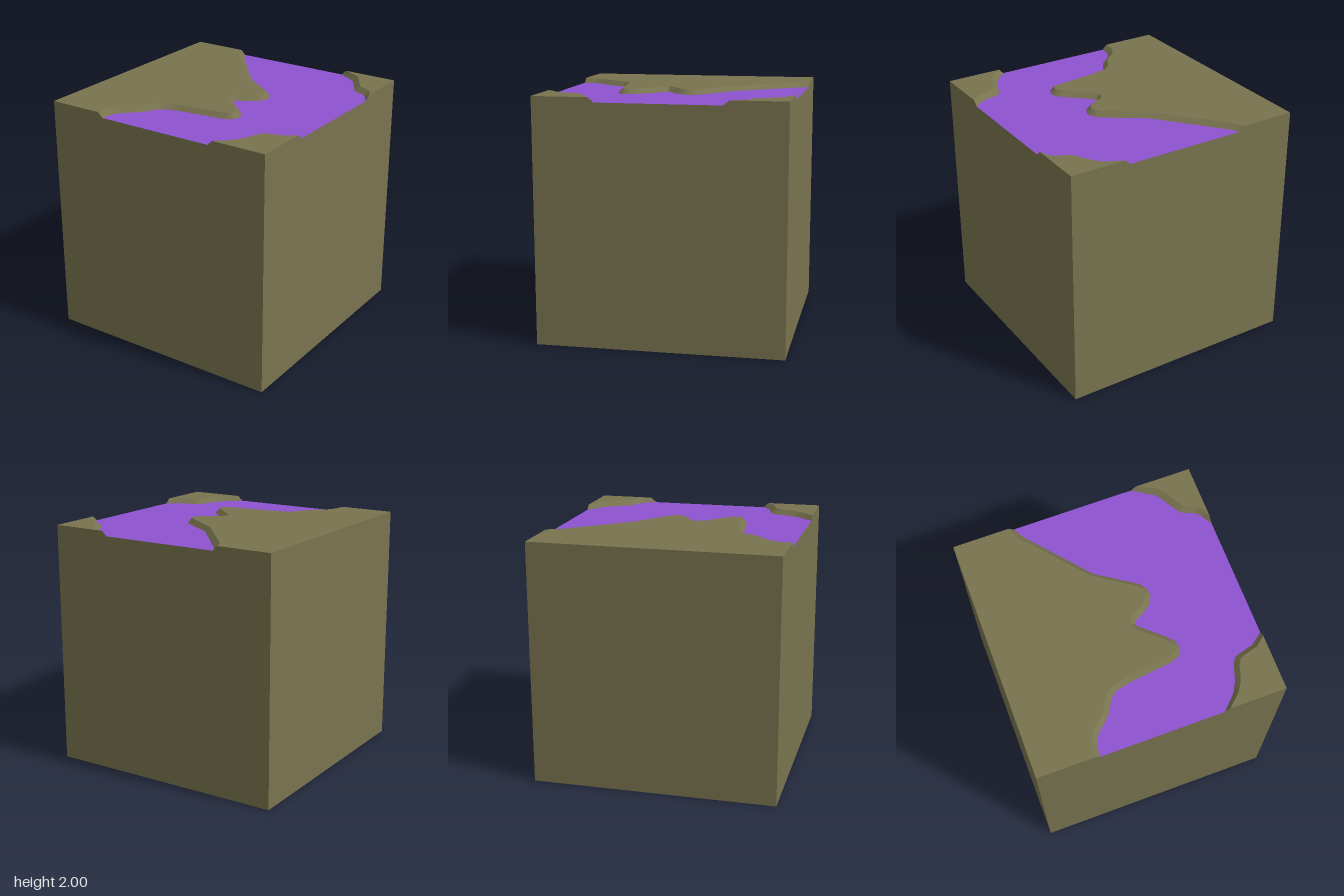
import * as THREE from 'three';
import { toCreasedNormals } from 'three/addons/utils/BufferGeometryUtils.js';

const TOP = 2, BED = 1.96;

// Bank lines as [x, z] pairs: foot on the river bed, rim on the plateau.
const westFoot = [[-0.5, -1], [-0.45, -0.91], [-0.04, -0.415], [0.265, -0.21], [0.31, -0.15], [0.32, -0.09],
  [0.285, -0.02], [0.22, 0.03], [0.14, 0.07], [0.115, 0.1], [0.14, 0.13], [0.3, 0.275], [0.36, 0.34],
  [0.37, 0.4], [0.345, 0.46], [0.27, 0.49], [-0.08, 0.53], [-0.21, 0.56], [-0.26, 0.6], [-0.33, 0.72],
  [-0.45, 0.83], [-0.49, 0.9], [-0.5, 1]];
const westRim = [[-0.54, -1], [-0.49, -0.89], [-0.07, -0.395], [0.24, -0.18], [0.275, -0.135], [0.28, -0.09],
  [0.26, -0.05], [0.2, -0.005], [0.11, 0.04], [0.08, 0.105], [0.11, 0.16], [0.275, 0.305], [0.325, 0.36],
  [0.335, 0.41], [0.32, 0.44], [0.26, 0.455], [-0.09, 0.495], [-0.23, 0.525], [-0.295, 0.575], [-0.365, 0.7],
  [-0.48, 0.8], [-0.53, 0.89], [-0.54, 1]];
const backFoot = [[0.5, -1], [0.67, -0.89], [0.71, -0.83], [0.785, -0.7], [0.82, -0.665], [0.9, -0.635],
  [0.94, -0.6], [1, -0.5]];
const backRim = [[0.54, -1], [0.69, -0.925], [0.74, -0.865], [0.82, -0.725], [0.85, -0.7], [0.92, -0.67],
  [0.97, -0.63], [1, -0.55]];
const frontFoot = [[0.5, 1], [0.62, 0.88], [0.665, 0.8], [0.71, 0.665], [0.74, 0.62], [0.78, 0.605],
  [0.9, 0.575], [1, 0.5]];
const frontRim = [[0.54, 1], [0.65, 0.9], [0.7, 0.82], [0.74, 0.7], [0.77, 0.655], [0.81, 0.64],
  [0.92, 0.61], [1, 0.545]];

// Plan points use (x, -z), so counter-clockwise loops face up.
const plan = (pts) => pts.map(([x, z]) => new THREE.Vector2(x, -z));

// Raised ground: sloped sides from the foot loop to the rim loop, with a flat top.
function plateauGeometry(foot, rim, corners) {
  const low = plan([...foot, ...corners]);
  const high = plan([...rim, ...corners]);
  if (THREE.ShapeUtils.isClockWise(high)) { low.reverse(); high.reverse(); }
  const n = low.length;
  const pos = [], index = [];
  low.forEach((p) => pos.push(p.x, BED, -p.y));
  high.forEach((p) => pos.push(p.x, TOP, -p.y));
  for (let i = 0; i < n; i++) {
    const j = (i + 1) % n;
    index.push(i, j, n + j, i, n + j, n + i);
  }
  THREE.ShapeUtils.triangulateShape(high, []).forEach((f) => index.push(...f.map((k) => n + k)));
  const geo = new THREE.BufferGeometry();
  geo.setAttribute('position', new THREE.Float32BufferAttribute(pos, 3));
  geo.setIndex(index);
  return toCreasedNormals(geo, 0.6);
}

export function createModel() {
  const group = new THREE.Group();
  const earth = new THREE.MeshStandardMaterial({ color: 0x78734f });
  earth.name = 'olive earth';
  const liquid = new THREE.MeshStandardMaterial({ color: 0x8e52d0 });
  liquid.name = 'purple liquid';

  const add = (name, geometry, material) => {
    const mesh = new THREE.Mesh(geometry, material);
    mesh.name = name;
    group.add(mesh);
    return mesh;
  };

  // Block below the river bed; its top face is left open for the river surface.
  const block = new THREE.BoxGeometry(2, BED, 2);
  const faces = Array.from(block.index.array);
  faces.splice(12, 6);
  block.setIndex(faces);
  block.clearGroups();
  add('groundBlock', block, earth).position.y = BED / 2;

  // River surface, bounded by the feet of all three banks
  const outline = plan([...westFoot, ...frontFoot, ...[...backFoot].reverse()]);
  const river = new THREE.ShapeGeometry(new THREE.Shape(outline));
  river.rotateX(-Math.PI / 2);
  add('riverSurface', river, liquid).position.y = BED;

  // Raised banks
  add('mainBank', plateauGeometry(westFoot, westRim, [[-1, 1], [-1, -1]]), earth);
  add('backCornerBank', plateauGeometry(backFoot, backRim, [[1, -1]]), earth);
  add('frontCornerBank', plateauGeometry(frontFoot, frontRim, [[1, 1]]), earth);

  return group;
}
